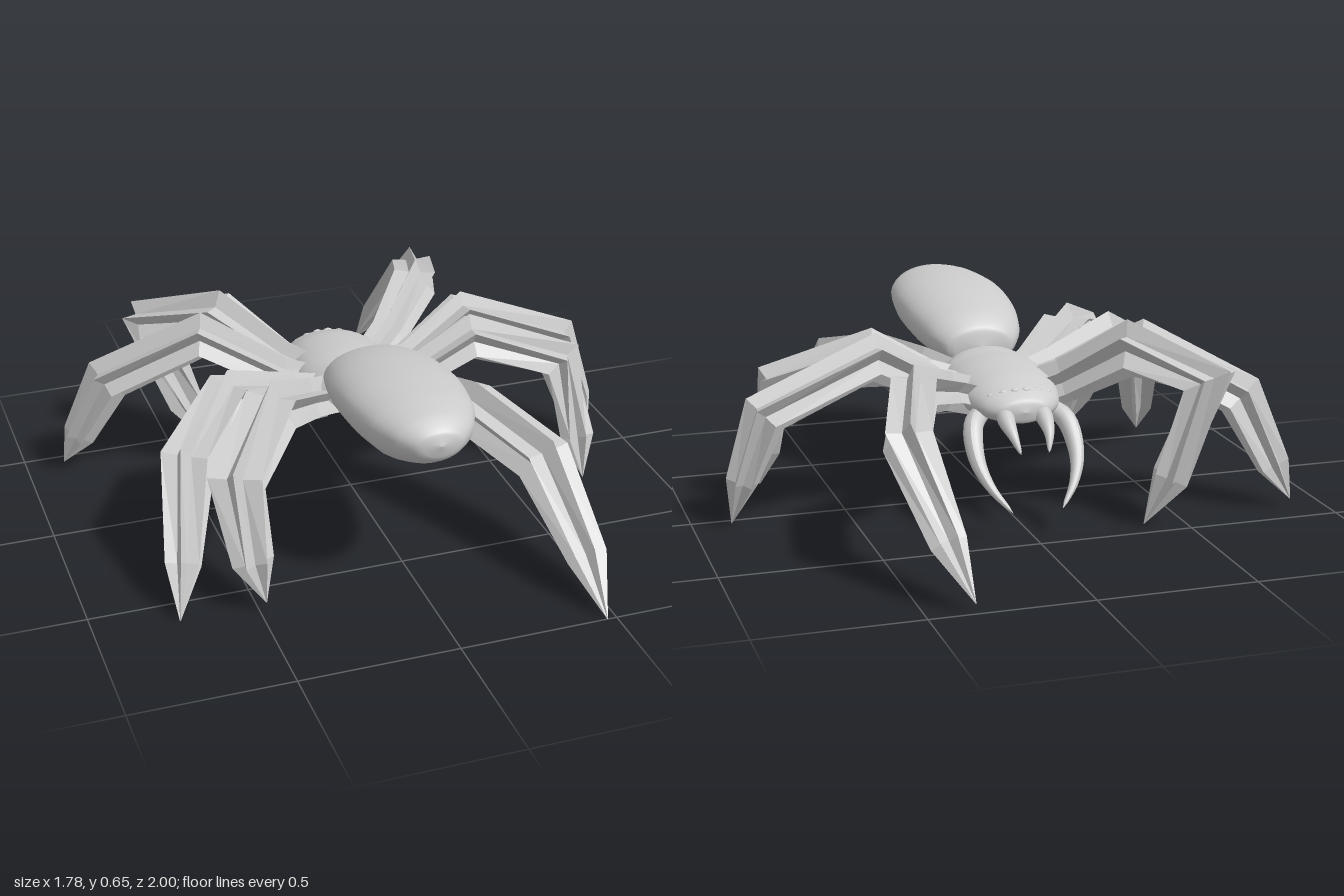
import * as THREE from 'three';

const smooth = new THREE.MeshStandardMaterial({ color: 0xcccccc });
const faceted = new THREE.MeshStandardMaterial({ color: 0xcccccc, flatShading: true, side: THREE.DoubleSide });

function add(parent, name, geometry, material = smooth) {
  const mesh = new THREE.Mesh(geometry, material);
  mesh.name = name;
  parent.add(mesh);
  return mesh;
}

// Skin a list of equal-length closed rings of Vector3
function skin(rings) {
  const n = rings[0].length, index = [];
  for (let i = 0; i < rings.length - 1; i++)
    for (let j = 0; j < n; j++) {
      const a = i * n + j, b = i * n + (j + 1) % n;
      index.push(a, b, a + n, b, b + n, a + n);
    }
  const g = new THREE.BufferGeometry().setFromPoints(rings.flat());
  g.setIndex(index);
  g.computeVertexNormals();
  return g;
}

// Rounded body along z from rows [z, centreY, halfWidth, up, down], smoothed by a spline
function bodyGeometry(rows, cx) {
  const at = k => new THREE.CatmullRomCurve3(rows.map(r => new THREE.Vector3(...k(r))));
  const centre = at(r => [cx, r[1], r[0]]), size = at(r => [r[2], r[3], r[4]]);
  const rings = [];
  for (let i = 0; i <= 40; i++) {
    const c = centre.getPoint(i / 40), s = size.getPoint(i / 40);
    const ring = [];
    for (let j = 0; j < 32; j++) {
      const a = j / 32 * Math.PI * 2, sn = Math.sin(a);
      ring.push(new THREE.Vector3(
        c.x + Math.max(s.x, 0) * Math.cos(a),
        c.y + Math.max(sn > 0 ? s.y : s.z, 0) * sn, c.z));
    }
    rings.push(ring);
  }
  return skin(rings);
}

// Leg: star-shaped cross-section carried along a bent path, mitred at the joints
function legGeometry(points, radii) {
  const p = points.map(q => new THREE.Vector3(...q));
  const out = p[p.length - 1].clone().sub(p[0]).setY(0).normalize();
  const rings = p.map((c, i) => {
    const before = c.clone().sub(p[Math.max(i - 1, 0)]).normalize();
    const after = p[Math.min(i + 1, p.length - 1)].clone().sub(c).normalize();
    const dir = before.add(after).normalize();
    // keep the same ridge on top all the way to the tip
    const flat = new THREE.Vector3(dir.x, 0, dir.z);
    if (flat.length() < 0.35 || flat.dot(out) < 0) flat.copy(out);
    const side = new THREE.Vector3(0, 1, 0).cross(flat).normalize();
    side.addScaledVector(dir, -side.dot(dir)).normalize();
    const up = dir.clone().cross(side);
    const ring = [];
    for (let j = 0; j < 12; j++) {
      const a = (j / 12 + 0.25) * Math.PI * 2, r = radii[i] * (j % 2 ? 0.5 : 1);
      ring.push(c.clone().addScaledVector(side, r * Math.cos(a)).addScaledVector(up, r * Math.sin(a)));
    }
    return ring;
  });
  return skin(rings);
}

// Curved horn that narrows to a point
function hornGeometry(points, radius) {
  const curve = new THREE.CatmullRomCurve3(points.map(q => new THREE.Vector3(...q)));
  const steps = 18, around = 12;
  const g = new THREE.TubeGeometry(curve, steps, 1, around, false);
  const pos = g.attributes.position, v = new THREE.Vector3();
  for (let i = 0; i <= steps; i++) {
    const t = i / steps, c = curve.getPointAt(t);
    const r = radius * Math.sqrt(1 - t) * (0.75 + 0.5 * Math.sin(Math.PI * t) * (1 - t));
    for (let j = 0; j <= around; j++) {
      const k = i * (around + 1) + j;
      v.fromBufferAttribute(pos, k).sub(c).multiplyScalar(r).add(c);
      pos.setXYZ(k, v.x, v.y, v.z);
    }
  }
  g.computeVertexNormals();
  return g;
}

export function createModel() {
  const model = new THREE.Group();
  model.name = 'spider';

  // Abdomen at the rear, flattened and tilted up
  add(model, 'abdomen', bodyGeometry([
    [0.085, 0.48, 0, 0, 0], [0.10, 0.485, 0.11, 0.06, 0.07], [0.17, 0.51, 0.157, 0.085, 0.11],
    [0.32, 0.54, 0.186, 0.095, 0.135], [0.46, 0.558, 0.19, 0.093, 0.143], [0.62, 0.565, 0.168, 0.085, 0.135],
    [0.72, 0.565, 0.125, 0.068, 0.095], [0.775, 0.56, 0.07, 0.04, 0.05], [0.79, 0.56, 0, 0, 0],
  ], 0.01));

  // Cephalothorax with a blunt head
  add(model, 'thorax', bodyGeometry([
    [-0.345, 0.375, 0, 0, 0], [-0.335, 0.375, 0.075, 0.035, 0.035], [-0.29, 0.38, 0.125, 0.06, 0.05],
    [-0.20, 0.385, 0.155, 0.085, 0.065], [-0.06, 0.39, 0.17, 0.095, 0.08], [0.04, 0.39, 0.167, 0.095, 0.08],
    [0.10, 0.40, 0.135, 0.085, 0.07], [0.13, 0.42, 0, 0, 0],
  ], 0));

  // Arc of small flat eyes across the head
  for (let i = 0; i < 6; i++) {
    const x = (i - 2.5) * 0.036;
    const eye = add(model, 'eye', new THREE.SphereGeometry(0.014, 12, 8));
    eye.position.set(x, 0.435 - x * x * 2, -0.292 + x * x * 2);
    eye.scale.set(1.1, 0.6, 0.6);
  }

  // Curved pincers and short fangs, mirrored
  for (const s of [-1, 1]) {
    add(model, 'pincer', hornGeometry([
      [s * 0.10, 0.36, -0.22], [s * 0.15, 0.33, -0.28], [s * 0.162, 0.24, -0.36],
      [s * 0.135, 0.165, -0.42], [s * 0.08, 0.095, -0.47]], 0.036));
    add(model, 'fang', hornGeometry([
      [s * 0.055, 0.38, -0.28], [s * 0.062, 0.355, -0.34], [s * 0.058, 0.32, -0.40], [s * 0.045, 0.27, -0.44]], 0.032));
  }

  // Legs: girth, then hip, upper start, first knee, second knee, lower shin, tip
  const legs = {
    leftFrontLeg: [1.1, [0.08, 0.37, -0.11], [0.21, 0.43, -0.22], [0.38, 0.50, -0.43], [0.47, 0.425, -0.69], [0.41, 0.18, -0.90], [0.36, 0.03, -1]],
    leftSecondLeg: [1.05, [0.09, 0.37, -0.05], [0.22, 0.41, -0.06], [0.42, 0.525, -0.10], [0.775, 0.375, -0.115], [0.845, 0.15, -0.075], [0.875, 0, -0.03]],
    leftThirdLeg: [1.1, [0.09, 0.37, 0.02], [0.22, 0.41, 0.04], [0.40, 0.505, 0.04], [0.695, 0.405, 0.10], [0.725, 0.16, 0.20], [0.73, 0.03, 0.25]],
    leftRearLeg: [1.25, [0.07, 0.37, 0.04], [0.19, 0.41, 0.16], [0.295, 0.405, 0.32], [0.425, 0.335, 0.59], [0.465, 0.13, 0.85], [0.47, 0, 1]],
    rightFrontLeg: [1.25, [-0.08, 0.37, -0.10], [-0.19, 0.42, -0.17], [-0.36, 0.545, -0.30], [-0.55, 0.47, -0.49], [-0.44, 0.16, -0.46], [-0.37, 0, -0.42]],
    rightSecondLeg: [1.1, [-0.09, 0.37, -0.05], [-0.21, 0.41, -0.08], [-0.44, 0.53, -0.20], [-0.735, 0.365, -0.315], [-0.83, 0.14, -0.38], [-0.88, 0.03, -0.41]],
    rightThirdLeg: [1.2, [-0.09, 0.37, 0.02], [-0.22, 0.41, 0.05], [-0.44, 0.475, 0.125], [-0.625, 0.365, 0.30], [-0.70, 0.13, 0.50], [-0.74, 0, 0.60]],
    rightRearLeg: [1.3, [-0.08, 0.37, 0.04], [-0.19, 0.41, 0.12], [-0.345, 0.475, 0.26], [-0.53, 0.385, 0.51], [-0.51, 0.16, 0.60], [-0.48, 0.03, 0.63]],
  };
  const radii = [0.055, 0.057, 0.074, 0.073, 0.05, 0.001];
  for (const [name, [girth, ...points]] of Object.entries(legs))
    add(model, name, legGeometry(points, radii.map(r => r * girth)), faceted);

  return model;
}
